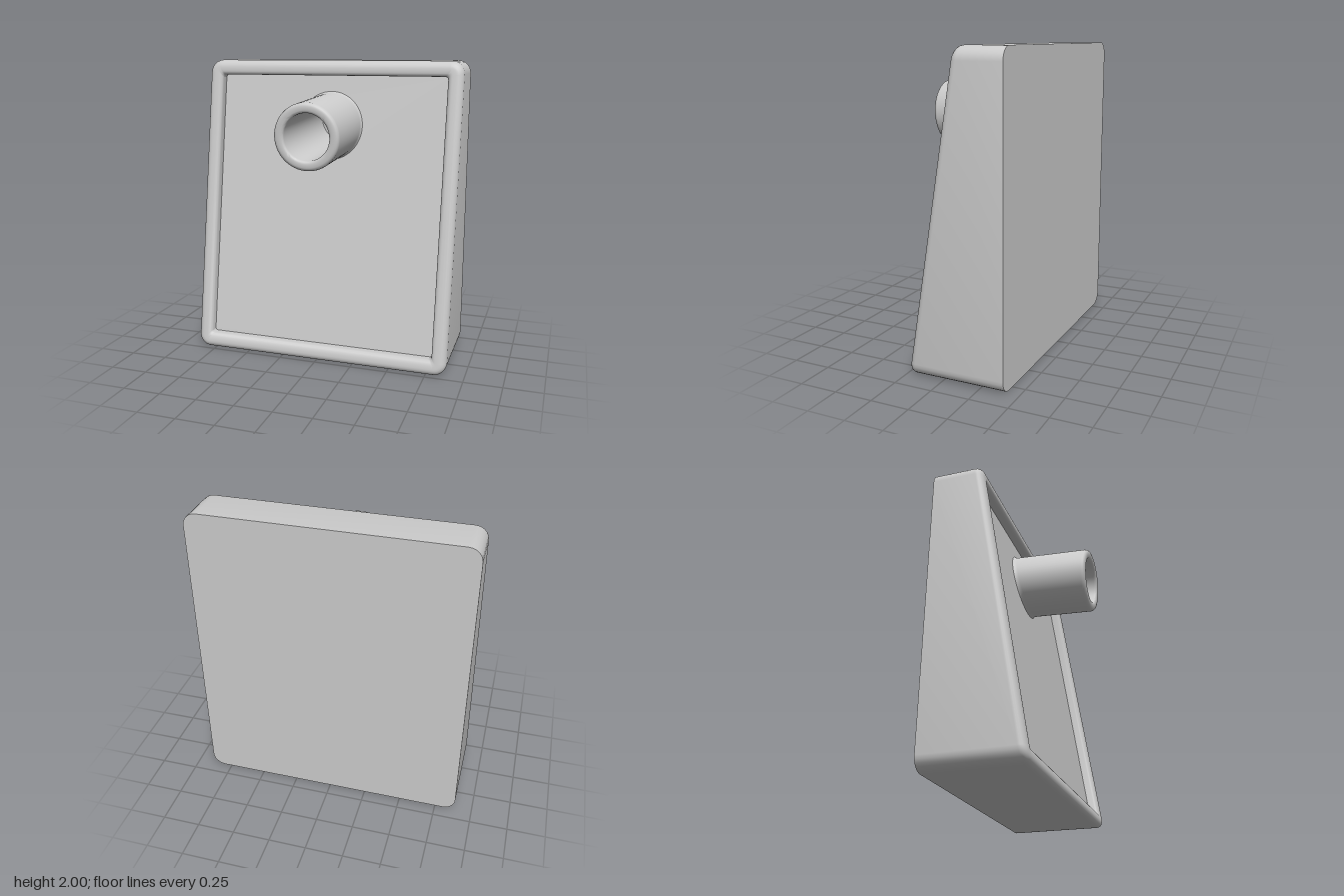
import * as THREE from 'three';
import { toCreasedNormals } from 'three/addons/utils/BufferGeometryUtils.js';

const HALF_W = 0.885, HALF_H = 1, BACK = -0.415, RECESS = 0.07;
const NOZZLE_TILT = 0.055, NOZZLE_Y = 1.54;
const material = new THREE.MeshStandardMaterial({ color: 0xcccccc });

// Sloping front plane
const frontZ = (y) => 0.235 - 0.166 * y;

// Rounded rectangle outline, counter-clockwise from the front
function outline(inset) {
  const r = Math.max(0.085 - inset, 0.02), n = 6, pts = [];
  const w = HALF_W - inset - r, h = HALF_H - inset - r;
  [[1, 1], [-1, 1], [-1, -1], [1, -1]].forEach(([sx, sy], q) => {
    for (let i = 0; i <= n; i++) {
      const a = (q + i / n) * Math.PI / 2;
      pts.push(new THREE.Vector2(sx * w + r * Math.cos(a), 1 + sy * h + r * Math.sin(a)));
    }
  });
  return pts;
}

// Skin over outlines; each ring is [inset, depth behind the front plane], null depth = flat back
function wallGeometry(rings) {
  const pos = [], idx = [], n = outline(0).length;
  for (const [inset, depth] of rings) {
    for (const p of outline(inset)) pos.push(p.x, p.y, depth === null ? BACK : frontZ(p.y) - depth);
  }
  for (let r = 0; r < rings.length - 1; r++) {
    for (let k = 0; k < n; k++) {
      const a = r * n + k, b = r * n + (k + 1) % n;
      idx.push(a, b, b + n, a, b + n, a + n);
    }
  }
  const g = new THREE.BufferGeometry();
  g.setAttribute('position', new THREE.Float32BufferAttribute(pos, 3));
  g.setIndex(idx);
  return toCreasedNormals(g, 0.6);
}

// Quarter-round steps for the rim edges
function roundEdge(r, toRing) {
  return Array.from({ length: 6 }, (_, i) => toRing(r * Math.sin(i * Math.PI / 10), r * Math.cos(i * Math.PI / 10)));
}

function add(group, name, geometry) {
  const mesh = new THREE.Mesh(geometry, material);
  mesh.name = name;
  group.add(mesh);
  return mesh;
}

export function createModel() {
  const model = new THREE.Group();
  model.name = 'wedgeHousing';

  // Side walls, rounded rim and recess walls
  const ro = 0.045, ri = 0.03, rim = 0.1;
  add(model, 'housingWalls', wallGeometry([
    [0, null],
    ...roundEdge(ro, (s, c) => [ro - c, ro - s]),
    ...roundEdge(ri, (s, c) => [rim - ri + s, ri - c]),
    [rim, RECESS],
  ]));

  // Flat back
  const back = new THREE.ShapeGeometry(new THREE.Shape(outline(0)));
  back.rotateY(Math.PI).translate(0, 0, BACK);
  add(model, 'backPanel', back);

  // Recessed front panel, open behind the nozzle
  const panelShape = new THREE.Shape(outline(rim));
  panelShape.holes.push(new THREE.Path().absarc(0, NOZZLE_Y + 0.027, 0.18, 0, Math.PI * 2, true));
  const panel = new THREE.ShapeGeometry(panelShape, 24);
  const pp = panel.attributes.position;
  for (let i = 0; i < pp.count; i++) pp.setZ(i, frontZ(pp.getY(i)) - RECESS);
  panel.computeVertexNormals();
  add(model, 'frontPanel', panel);

  // Hollow nozzle: flared foot, rounded lip, deep blind bore
  const profile = [
    [0.235, -0.51], [0.225, -0.5], [0.218, -0.488], [0.215, -0.47],
    [0.215, -0.025], [0.212, -0.013], [0.204, -0.004], [0.192, 0],
    [0.168, 0], [0.157, -0.004], [0.152, -0.01], [0.15, -0.02],
    [0.15, -0.78], [0, -0.78],
  ].map(([r, t]) => new THREE.Vector2(r, t));
  const tube = new THREE.LatheGeometry(profile, 64);
  const tp = tube.attributes.position;
  // Slant the foot so it sits on the sloping panel
  for (let i = 0; i < tp.count; i++) {
    const y = tp.getY(i), z = tp.getZ(i);
    if (y < -0.4 && Math.hypot(tp.getX(i), z) > 0.16) tp.setY(i, y + 0.224 * z);
  }
  const nozzle = add(model, 'nozzle', toCreasedNormals(tube, 0.7));
  nozzle.position.set(0, NOZZLE_Y, 0.403);
  nozzle.rotation.x = Math.PI / 2 + NOZZLE_TILT;

  return model;
}
